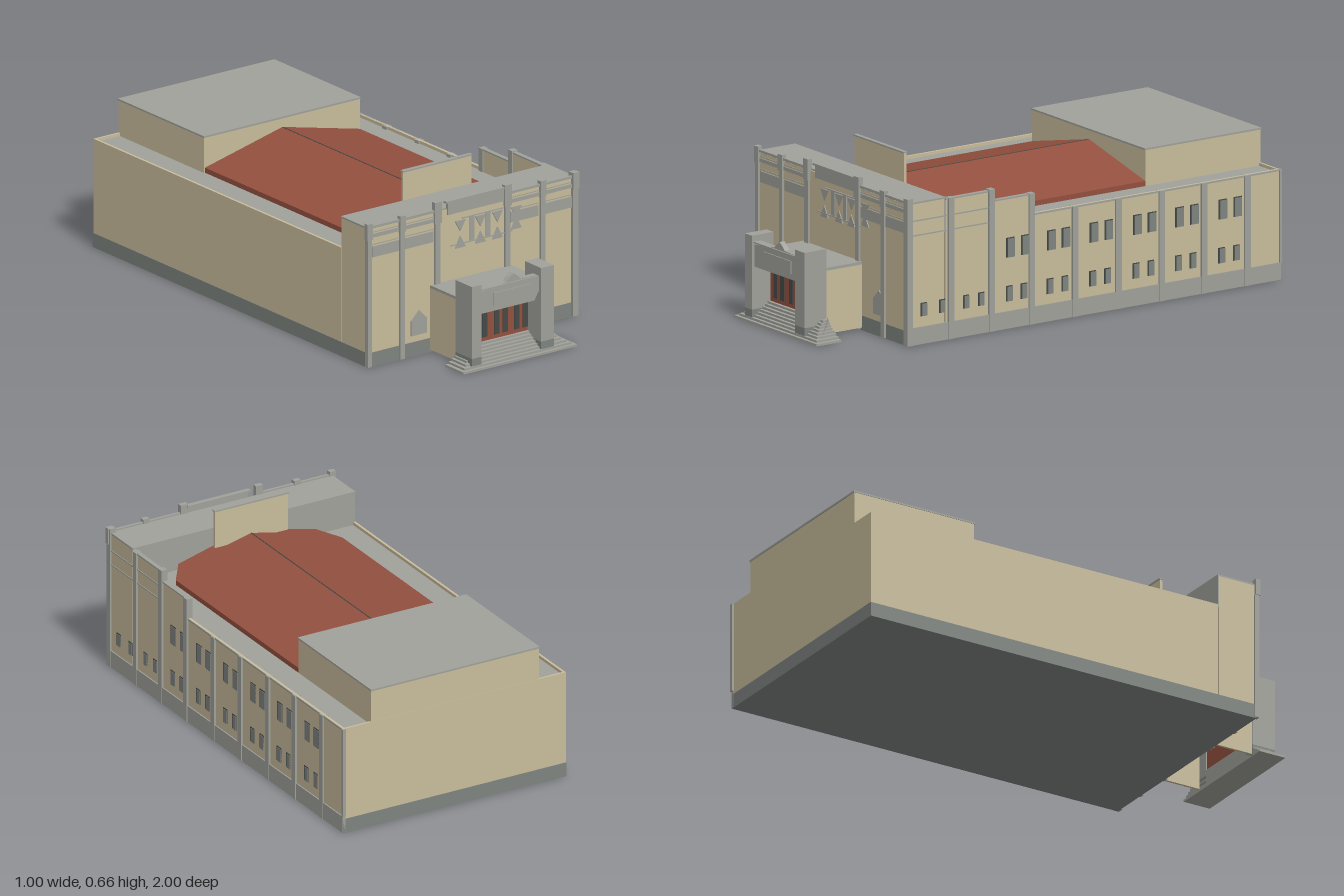
import * as THREE from 'three';

const mat = (name, color, side = THREE.FrontSide) => {
  const m = new THREE.MeshStandardMaterial({ color, side });
  m.name = name;
  return m;
};

export function createModel() {
  const model = new THREE.Group();
  model.name = 'theatreBuilding';
  const tan = mat('tan brick', 0xc8bc9b);
  const gray = mat('gray stone', 0xa0a19a, THREE.DoubleSide);
  const dark = mat('dark stone', 0x7e8480);
  const red = mat('red brown', 0x93503f, THREE.DoubleSide);
  const glass = mat('dark glass', 0x444a47);

  // Box given by its limits on each axis
  const box = (name, m, x0, x1, y0, y1, z0, z1) => {
    const mesh = new THREE.Mesh(new THREE.BoxGeometry(x1 - x0, y1 - y0, z1 - z0), m);
    mesh.position.set((x0 + x1) / 2, (y0 + y1) / 2, (z0 + z1) / 2);
    mesh.name = name;
    model.add(mesh);
    return mesh;
  };
  // Polygon in the xy plane extruded from z0 to z1
  const plate = (name, m, pts, z0, z1) => {
    const shape = new THREE.Shape(pts.map(p => new THREE.Vector2(...p)));
    const mesh = new THREE.Mesh(new THREE.ExtrudeGeometry(shape, { depth: z1 - z0, bevelEnabled: false }), m);
    mesh.position.z = z0;
    mesh.name = name;
    model.add(mesh);
    return mesh;
  };

  // Main hall with its low surrounding roof and rim
  box('foundation', dark, -0.49, 0.49, 0, 0.057, -0.995, 0.72);
  box('sideBase', gray, 0.48, 0.493, 0.003, 0.07, -0.995, 0.722);
  box('hall', tan, -0.488, 0.488, 0.057, 0.415, -0.993, 0.55);
  box('lowRoof', gray, -0.48, 0.48, 0.415, 0.42, -0.985, 0.55);
  for (const s of [-1, 1]) box('sideRim', tan, s * 0.483 - 0.005, s * 0.483 + 0.005, 0.415, 0.432, -0.993, 0.55);
  box('backRim', tan, -0.488, 0.488, 0.415, 0.432, -0.993, -0.984);

  // Front block and stepped side parapets
  box('frontBlock', tan, -0.488, 0.488, 0.057, 0.55, 0.555, 0.72);
  box('frontBlockBack', gray, -0.486, 0.486, 0.42, 0.55, 0.55, 0.555);
  box('frontRoof', gray, -0.488, 0.488, 0.55, 0.557, 0.55, 0.715);
  box('highParapet', tan, 0.474, 0.488, 0.41, 0.545, 0.34, 0.55);
  box('highCoping', gray, 0.473, 0.491, 0.545, 0.551, 0.34, 0.55);
  box('lowParapet', tan, 0.474, 0.488, 0.41, 0.505, 0.15, 0.34);
  box('lowCoping', gray, 0.473, 0.491, 0.505, 0.511, 0.15, 0.34);

  // Rear stage house
  box('stageHouse', tan, -0.37, 0.365, 0.42, 0.56, -0.992, -0.46);
  box('stageRoof', gray, -0.372, 0.367, 0.56, 0.567, -0.995, -0.457);

  // Red gabled roof with clipped front corners
  const half = [[0, -0.46], [0.365, -0.46], [0.365, 0.44], [0.3, 0.53], [0, 0.54]];
  const height = x => 0.525 - 0.085 * x / 0.365;
  const tri = [];
  for (const s of [-1, 1]) {
    const top = half.map(([x, z]) => [s * x, height(x), z]);
    for (let i = 1; i < 4; i++) {
      const [b, c] = s > 0 ? [top[i + 1], top[i]] : [top[i], top[i + 1]];
      tri.push(...top[0], ...b, ...c);
      const [p, q] = s > 0 ? [top[i], top[i + 1]] : [top[i + 1], top[i]];
      const pl = [p[0], 0.42, p[2]], ql = [q[0], 0.42, q[2]];
      tri.push(...pl, ...p, ...q, ...pl, ...q, ...ql);
    }
  }
  const roofGeo = new THREE.BufferGeometry();
  roofGeo.setAttribute('position', new THREE.Float32BufferAttribute(tri, 3));
  roofGeo.computeVertexNormals();
  const roof = new THREE.Mesh(roofGeo, red);
  roof.name = 'gabledRoof';
  model.add(roof);
  box('ridgeLine', glass, -0.002, 0.002, 0.522, 0.526, -0.455, 0.535);

  // Upright panel above the facade
  box('uprightPanel', tan, -0.162, 0.16, 0.5, 0.65, 0.497, 0.508);
  box('uprightPanelCap', gray, -0.165, 0.162, 0.65, 0.656, 0.494, 0.511);

  // Facade pilasters with wider heads
  for (const s of [-1, 1]) {
    for (const [x, w, top] of [[0.486, 0.02, 0.575], [0.331, 0.021, 0.575], [0.165, 0.025, 0.594]]) {
      const a = s * x;
      box('pilaster', gray, a - w / 2, a + w / 2, 0.003, 0.51, 0.71, 0.729);
      box('pilasterHead', gray, a - w / 2 - 0.003, a + w / 2 + 0.003, 0.51, top, 0.712, 0.732);
    }
    // Bands and panels of the side bays
    const bay = (name, m, x0, x1, y0, y1, z) =>
      box(name, m, Math.min(s * x0, s * x1), Math.max(s * x0, s * x1), y0, y1, 0.715, z);
    bay('bayCoping', gray, 0.18, 0.488, 0.553, 0.563, 0.726);
    bay('bayLine', gray, 0.18, 0.488, 0.535, 0.538, 0.723);
    bay('bayBand', gray, 0.18, 0.488, 0.515, 0.53, 0.724);
    bay('bayPanel', gray, 0.345, 0.47, 0.437, 0.48, 0.724);
    bay('innerPanel', gray, 0.182, 0.312, 0.437, 0.48, 0.724);
    bay('panelSill', gray, 0.18, 0.475, 0.486, 0.489, 0.723);
  }
  for (const x of [-0.25, 0.3])
    plate('gabledNiche', gray, [[-0.037, 0.083], [0.037, 0.083], [0.037, 0.143], [0, 0.18], [-0.037, 0.143]], 0.715, 0.724).position.x = x;

  // Central frieze and window tracery
  box('centerFrieze', gray, -0.115, 0.15, 0.53, 0.583, 0.714, 0.724);
  box('centerCoping', gray, -0.125, 0.15, 0.578, 0.586, 0.71, 0.728);
  box('traceryHead', gray, -0.045, 0.15, 0.502, 0.506, 0.715, 0.725);
  box('tracerySill', gray, -0.1, 0.19, 0.402, 0.406, 0.715, 0.725);
  for (const x of [0.001, 0.077]) box('mullion', gray, x - 0.011, x + 0.011, 0.405, 0.503, 0.715, 0.723);
  for (const [x, y] of [[-0.055, 0], [0.04, 0], [0.12, 0], [0.209, 0.02]]) {
    plate('upperFan', gray, [[x - 0.025, 0.497], [x, 0.453], [x + 0.025, 0.497]], 0.715, 0.724);
    plate('lowerFan', gray, [[x - 0.025, 0.388 + y], [x + 0.025, 0.388 + y], [x, 0.435 + y]], 0.715, 0.724);
  }

  // Right side: pilasters, bands and windows
  const sidePilasters = [[0.718, 0.575], [0.527, 0.552], [0.34, 0.556], [0.155, 0.512],
    ...[-0.045, -0.245, -0.445, -0.64, -0.84].map(z => [z, 0.432])];
  for (const [z, top] of sidePilasters) box('sidePilaster', gray, 0.47, 0.496, 0.003, top, z - 0.014, z + 0.012);
  box('backCornerTrim', gray, 0.48, 0.494, 0.07, 0.432, -1, -0.99);
  for (const y of [0.425, 0.482]) box('sideBand', gray, 0.48, 0.491, y, y + 0.005, 0.34, 0.72);
  box('sideTopLine', gray, 0.48, 0.491, 0.425, 0.432, -0.99, 0.15);
  const sideWindow = (z, y0, y1, w) => {
    box('windowFrame', glass, 0.484, 0.49, y0, y1, z - w / 2, z + w / 2);
    box('windowPane', dark, 0.484, 0.492, y0, y1 - 0.004, z - w / 2, z + w / 2 - 0.006);
  };
  for (const z of [0.65, 0.565, 0.455, 0.385]) sideWindow(z, 0.11, 0.162, 0.028);
  for (const z of [0.25, 0.062, -0.135, -0.335, -0.53, -0.73]) {
    for (const d of [0, -0.068]) {
      sideWindow(z + d, 0.278, 0.355, 0.038);
      sideWindow(z + d + 0.006, 0.108, 0.168, 0.03);
    }
  }

  // Entrance porch, open underneath
  box('porchWallRight', tan, -0.195, -0.185, 0.01, 0.258, 0.72, 0.89);
  box('porchWallLeft', tan, 0.175, 0.185, 0.01, 0.258, 0.72, 0.89);
  box('porchRoof', gray, -0.196, 0.186, 0.256, 0.267, 0.72, 0.965);
  for (const [x0, x1, top] of [[-0.2, -0.155, 0.335], [0.127, 0.187, 0.341]]) {
    box('pylonBase', dark, x0, x1, 0.003, 0.048, 0.885, 0.986);
    box('pylon', gray, x0, x1, 0.048, top, 0.885, 0.986);
  }
  plate('portalFrieze', gray, [[-0.155, 0.213], [0.105, 0.213], [0.127, 0.25], [0.127, 0.305], [0.118, 0.312],
    [0.04, 0.315], [0.025, 0.33], [0.006, 0.343], [-0.012, 0.33], [-0.027, 0.315], [-0.085, 0.306], [-0.155, 0.3]], 0.95, 0.973);
  box('friezeMoulding', gray, -0.155, 0.12, 0.306, 0.311, 0.945, 0.979);
  box('friezePanel', gray, -0.09, 0.085, 0.235, 0.285, 0.97, 0.977);
  box('transomWall', tan, -0.156, 0.128, 0.2, 0.258, 0.89, 0.9);
  box('doors', red, -0.156, 0.128, 0.068, 0.2, 0.888, 0.9);
  for (const x of [-0.118, -0.075, -0.018, 0.022, 0.077, 0.117]) {
    box('doorGlass', glass, x - 0.013, x + 0.011, 0.086, 0.184, 0.897, 0.903);
    box('transomGlass', glass, x - 0.013, x + 0.011, 0.19, 0.199, 0.897, 0.903);
  }

  // Flared stairs and their raked side fins
  const n = 8;
  for (let i = 0; i < n; i++) {
    const t = i / n, flare = (1 - t) ** 1.6;
    box('step', gray, -0.17 - 0.08 * flare, 0.2 + 0.085 * flare, t * 0.07, (i + 1) / n * 0.07, 0.885, 1 - t * 0.1);
  }
  for (const [xa, xb, h] of [[0.205, 0.29, 0.085], [-0.172, -0.252, 0.06]]) {
    const pts = [];
    const at = t => [xa + (xb - xa) * t, h * (1 - t) ** 1.5, 0.89 + 0.11 * t];
    for (let i = 0; i < 6; i++) {
      const p = at(i / 6), q = at((i + 1) / 6);
      const pl = [p[0], 0, p[2]], ql = [q[0], 0, q[2]];
      pts.push(...pl, ...ql, ...q, ...pl, ...q, ...p);
    }
    const geo = new THREE.BufferGeometry();
    geo.setAttribute('position', new THREE.Float32BufferAttribute(pts, 3));
    geo.computeVertexNormals();
    const fin = new THREE.Mesh(geo, gray);
    fin.name = 'stairFin';
    model.add(fin);
  }
  return model;
}
